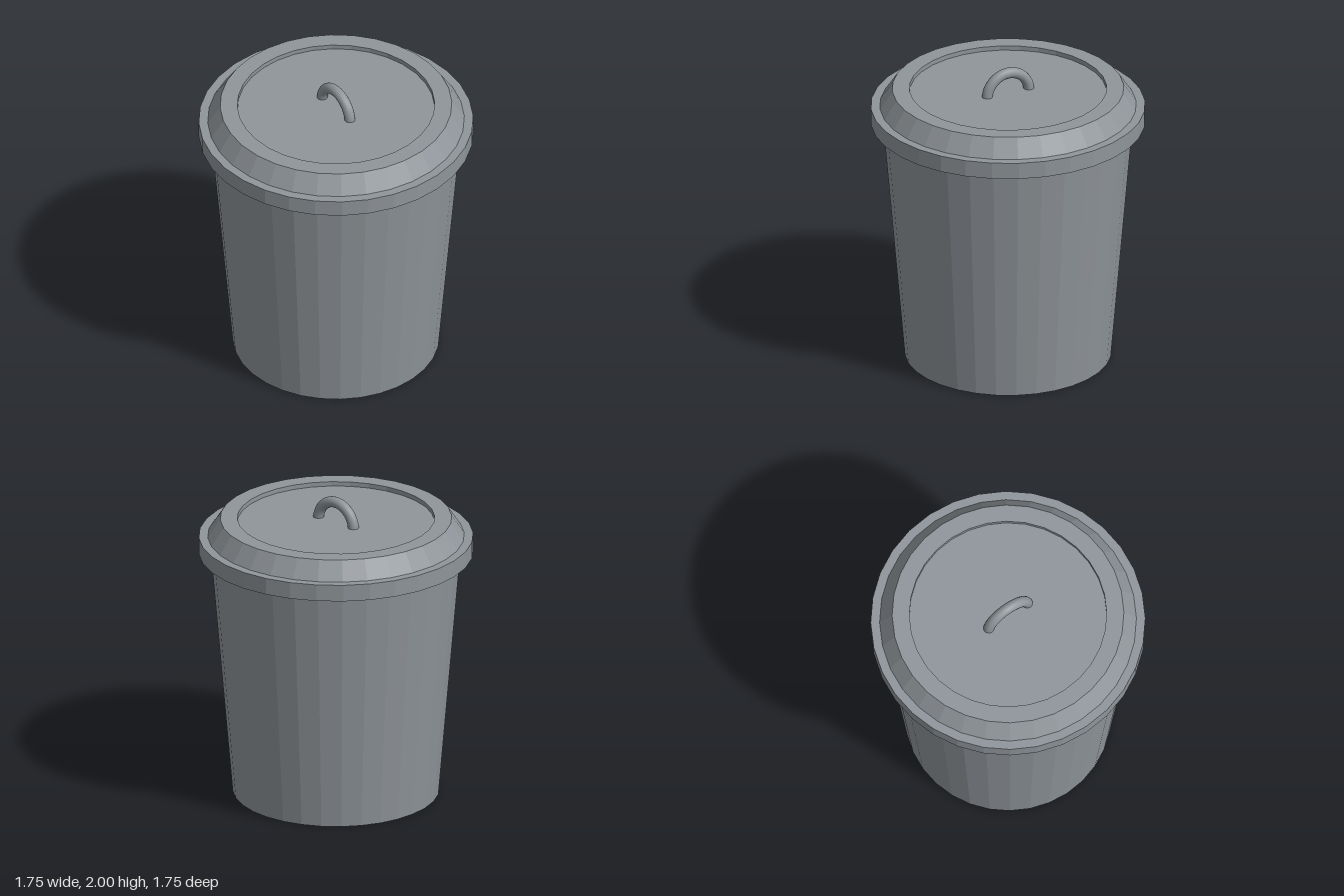
import * as THREE from 'three';

const SIDES = 32;

// Faceted solid of revolution from [radius, height] points, listed bottom to top
function faceted(name, profile, material) {
  const points = profile.map(([r, y]) => new THREE.Vector2(r, y));
  const geometry = new THREE.LatheGeometry(points, SIDES).toNonIndexed();
  geometry.computeVertexNormals();
  const mesh = new THREE.Mesh(geometry, material);
  mesh.name = name;
  return mesh;
}

export function createModel() {
  const group = new THREE.Group();
  group.name = 'trashCan';
  const metal = new THREE.MeshStandardMaterial({ color: 0x8f959a });
  metal.name = 'greyMetal';

  // Tapered bin with a closed base
  group.add(faceted('body', [[0, 0], [0.66, 0], [0.8, 1.64]], metal));

  // Lid: overhanging rim, sloped shoulder, flat ring and shallow recess
  group.add(faceted('lid', [
    [0, 1.63], [0.877, 1.63], [0.877, 1.74], [0.82, 1.74],
    [0.74, 1.86], [0.63, 1.86], [0.63, 1.83], [0, 1.83],
  ], metal));

  // Half-ring handle running front to back, its feet sunk into the lid
  const handle = new THREE.Mesh(new THREE.TorusGeometry(0.15, 0.035, 16, 24, Math.PI), metal);
  handle.name = 'lidHandle';
  handle.rotation.y = Math.PI / 2;
  handle.position.y = 1.815;
  group.add(handle);

  return group;
}
